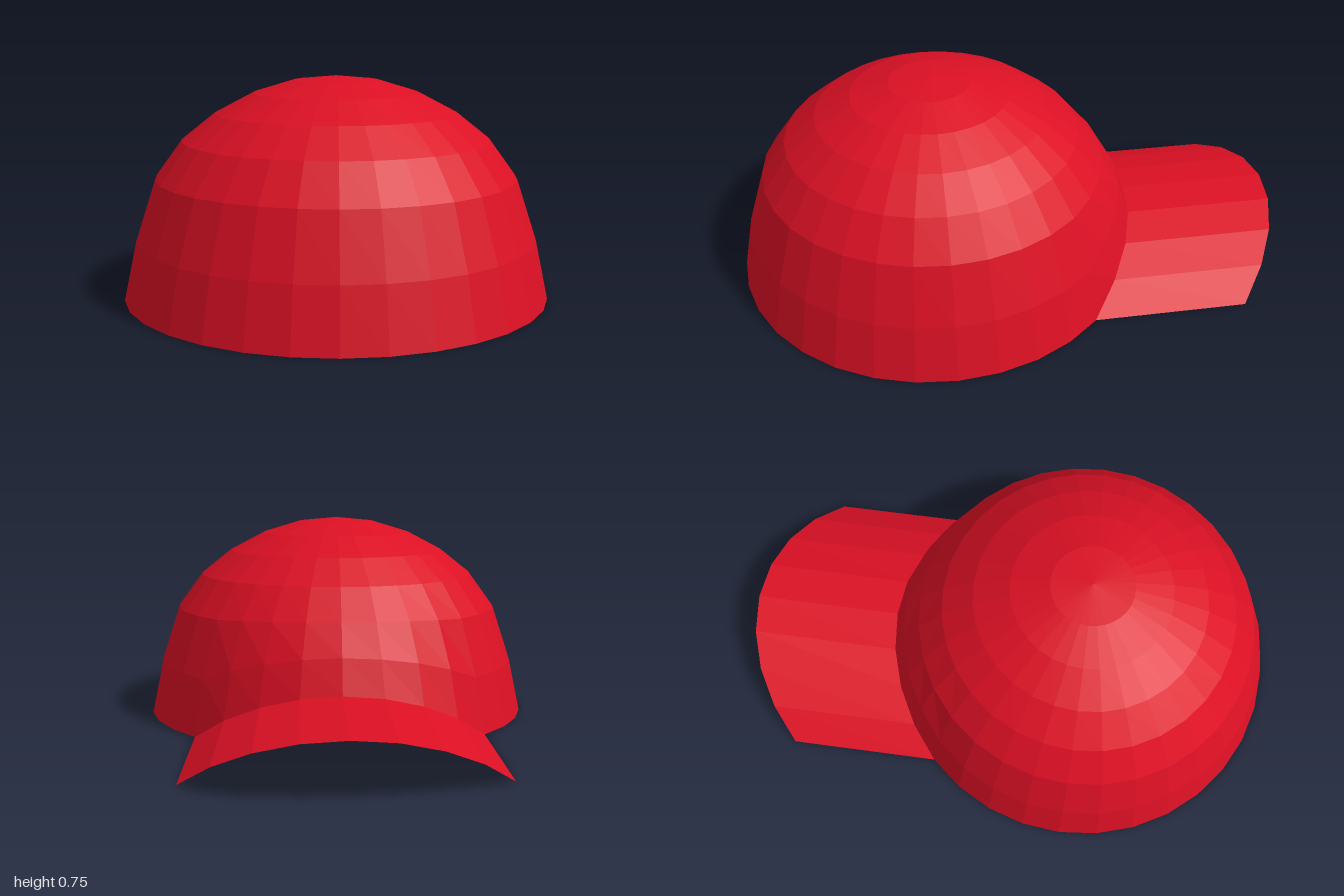
import * as THREE from 'three';

const SEGMENTS = 32;      // facets around the crown
const RADIUS = 0.725;     // rim radius
const CENTER_Z = 0.275;   // crown axis
const BRIM_LENGTH = 0.55;
const ARCH = 0.19;        // height of the brim arch at its middle

// Height of the arched edge; a is the angle away from straight back (-z)
function archHeight(a) {
  const c = Math.cos(Math.PI / 4);
  return ARCH * Math.max(0, (Math.cos(a) - c) / (1 - c));
}

// Faceted open dome whose lower rings rise over the brim
function crownGeometry() {
  const profile = [
    [RADIUS, 0], [0.682, 0.2], [0.615, 0.405], [0.524, 0.53],
    [0.411, 0.62], [0.282, 0.688], [0.145, 0.73], [0, 0.745],
  ].map(([r, y]) => new THREE.Vector2(r, y));
  const lift = [1, 0.58, 0.08];
  const geometry = new THREE.LatheGeometry(profile, SEGMENTS);
  const p = geometry.attributes.position;
  for (let i = 0; i < p.count; i++) {
    const ring = i % profile.length;
    const a = Math.atan2(p.getX(i), -p.getZ(i));
    p.setY(i, p.getY(i) + (lift[ring] ?? 0) * archHeight(a));
  }
  geometry.translate(0, 0, CENTER_Z);
  geometry.computeVertexNormals();
  return geometry;
}

// Thin arched sheet swept straight back from the rim
function brimGeometry() {
  const columns = SEGMENTS / 4;
  const geometry = new THREE.PlaneGeometry(1, 1, columns, 1);
  const p = geometry.attributes.position;
  for (let i = 0; i < p.count; i++) {
    const a = p.getX(i) * Math.PI / 2;
    const outward = p.getY(i) + 0.5;
    p.setXYZ(i, RADIUS * Math.sin(a), archHeight(a),
      CENTER_Z - RADIUS * Math.cos(a) - outward * BRIM_LENGTH);
  }
  geometry.computeVertexNormals();
  return geometry;
}

export function createModel() {
  const red = new THREE.MeshStandardMaterial({
    color: 0xdc1024, flatShading: true, side: THREE.DoubleSide,
  });
  red.name = 'red';

  const cap = new THREE.Group();
  cap.name = 'cap';
  const parts = { crown: crownGeometry(), brim: brimGeometry() };
  for (const [name, geometry] of Object.entries(parts)) {
    const mesh = new THREE.Mesh(geometry, red);
    mesh.name = name;
    cap.add(mesh);
  }
  return cap;
}
